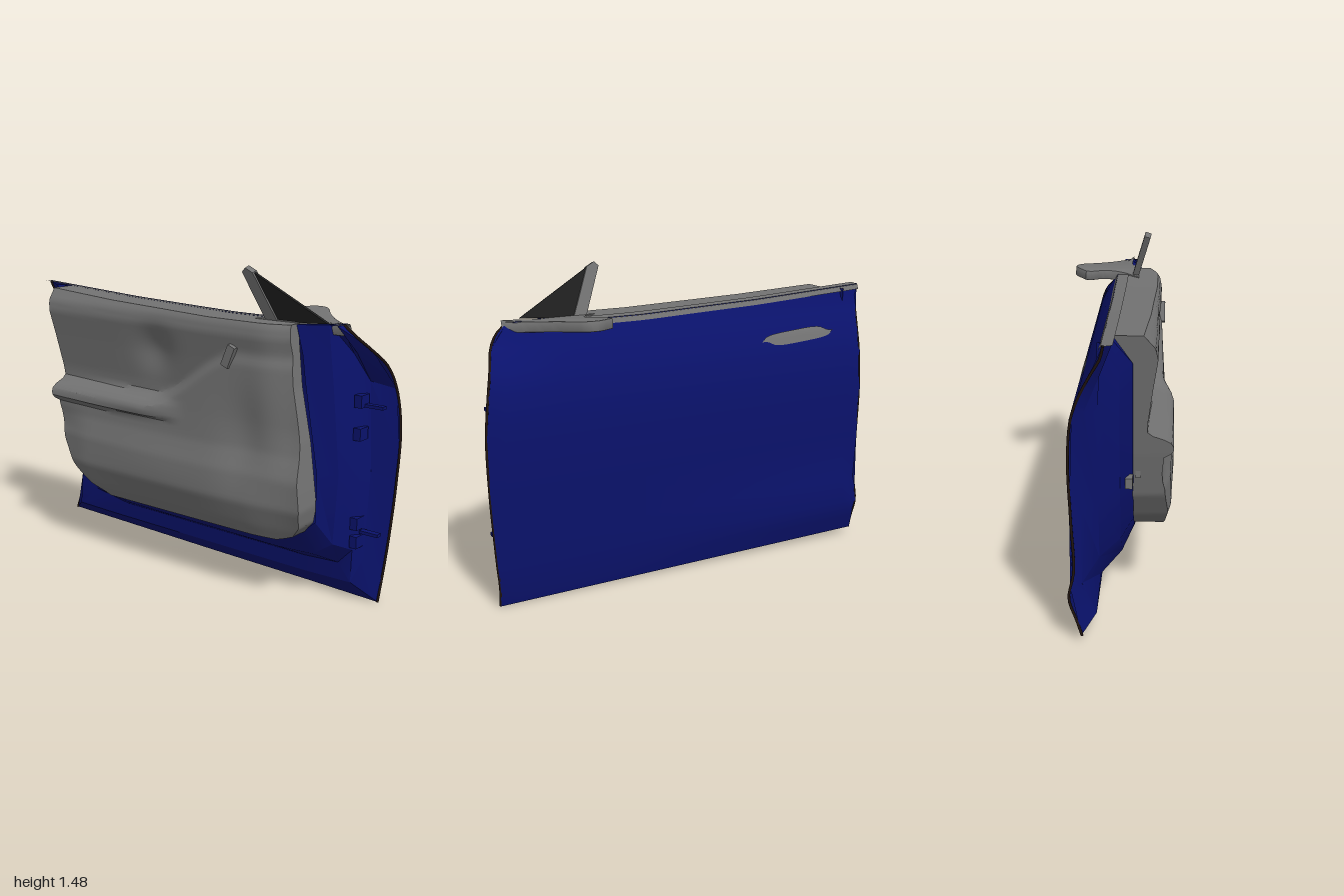
import * as THREE from 'three';
import { toCreasedNormals } from 'three/addons/utils/BufferGeometryUtils.js';

const paint = (color) => new THREE.MeshStandardMaterial({ color, side: THREE.DoubleSide });
const blue = paint(0x0a126c), grey = paint(0x727272), black = paint(0x202020), seal = paint(0x20140f);

// Eased ramp from 0 at a to 1 at b, in either direction
function smooth(a, b, v) {
  const t = THREE.MathUtils.clamp((v - a) / (b - a), 0, 1);
  return t * t * (3 - 2 * t);
}
const bump = (x, y, cx, cy, rx, ry) => Math.exp(-(((x - cx) / rx) ** 2) - ((y - cy) / ry) ** 2);

// Piecewise linear lookup in [key, value] pairs with rising keys
function lookup(pairs, k) {
  if (k <= pairs[0][0]) return pairs[0][1];
  for (let i = 1; i < pairs.length; i++) {
    const [k0, v0] = pairs[i - 1], [k1, v1] = pairs[i];
    if (k <= k1) return v0 + ((v1 - v0) * (k - k0)) / (k1 - k0);
  }
  return pairs[pairs.length - 1][1];
}

// Surface through a grid of points; point(i, j) returns [x, y, z]
function surface(cols, rows, point, crease = 0.5) {
  const pos = [], index = [];
  for (let j = 0; j <= rows; j++) for (let i = 0; i <= cols; i++) pos.push(...point(i, j));
  for (let j = 0; j < rows; j++) for (let i = 0; i < cols; i++) {
    const a = j * (cols + 1) + i, b = a + 1, c = a + cols + 1, d = c + 1;
    index.push(a, b, d, a, d, c);
  }
  const g = new THREE.BufferGeometry();
  g.setAttribute('position', new THREE.Float32BufferAttribute(pos, 3));
  g.setIndex(index);
  return toCreasedNormals(g, crease);
}

// Outer skin: side edges and bulge
const rearEdge = [[-0.945, 0.03], [-0.94, 0.1], [-0.94, 0.2], [-0.94, 0.32], [-0.935, 0.55], [-0.935, 0.8],
  [-0.935, 0.98], [-0.945, 1.08], [-0.965, 1.18], [-0.98, 1.24], [-1, 1.295]];
const frontEdge = [[0.955, 0], [0.96, 0.1], [0.97, 0.2], [0.98, 0.32], [0.995, 0.55], [1, 0.8],
  [0.98, 0.97], [0.955, 1.07], [0.92, 1.15], [0.88, 1.2], [0.82, 1.25]];
const bulge = [[0, -0.12], [0.1, -0.14], [0.3, -0.155], [0.6, -0.17], [0.8, -0.176], [0.98, -0.162],
  [1.1, -0.12], [1.2, -0.065], [1.25, -0.037], [1.3, -0.03]];
const skinZ = (x, y) => lookup(bulge, y)
  + 0.08 * smooth(0.6, 0.95, x) * smooth(1.04, 1.22, y)
  - 0.033 * smooth(0.6, -0.9, x) * bump(0, y, 0, 0.19, 1, 0.08);
const topY = (x) => lookup([[-1, 1.295], [-0.4, 1.262], [0.2, 1.242], [0.6, 1.242], [0.82, 1.255]], x);

function skinPoint(i, j) {
  const [xa, ya] = rearEdge[j], [xb, yb] = frontEdge[j], t = i / 24;
  const x = xa + (xb - xa) * t;
  const y = j === 10 ? topY(x) : ya + (yb - ya) * t;
  return [x, y, skinZ(x, y)];
}

// Inner shell: U-shaped steps from the skin edge in to the trim
const steps = [
  [[-1, 1.29], [-0.962, 1.16], [-0.935, 1], [-0.935, 0.6], [-0.94, 0.25], [-0.945, 0.03], [-0.6, 0.025], [0, 0.015],
    [0.6, 0.007], [0.955, 0], [0.97, 0.2], [0.997, 0.7], [0.98, 0.97], [0.92, 1.15], [0.82, 1.25]],
  [[-0.92, 1.28], [-0.915, 1.15], [-0.91, 1], [-0.91, 0.6], [-0.9, 0.25], [-0.86, 0.09], [-0.6, 0.085], [0, 0.08],
    [0.6, 0.075], [0.84, 0.08], [0.885, 0.2], [0.89, 0.6], [0.88, 1], [0.86, 1.13], [0.81, 1.25]],
  [[-0.9, 1.28], [-0.895, 1.15], [-0.89, 1], [-0.87, 0.6], [-0.82, 0.33], [-0.72, 0.2], [-0.5, 0.165], [0, 0.16],
    [0.6, 0.155], [0.78, 0.165], [0.85, 0.24], [0.87, 0.6], [0.84, 1], [0.825, 1.12], [0.8, 1.25]],
  [[-0.87, 1.28], [-0.86, 1.15], [-0.85, 1], [-0.82, 0.65], [-0.74, 0.38], [-0.62, 0.26], [-0.4, 0.21], [0, 0.205],
    [0.5, 0.2], [0.7, 0.21], [0.8, 0.28], [0.82, 0.6], [0.78, 1], [0.765, 1.12], [0.75, 1.25]],
  [[-0.82, 1.28], [-0.805, 1.17], [-0.79, 1.05], [-0.72, 0.7], [-0.62, 0.42], [-0.5, 0.33], [-0.38, 0.28], [0, 0.28],
    [0.5, 0.28], [0.64, 0.3], [0.74, 0.38], [0.74, 0.6], [0.67, 1], [0.655, 1.11], [0.62, 1.24]],
];
const stepZ = [0, 0, -0.055, 0.03, 0.08];
function shellPoint(i, j) {
  const [x, y] = steps[j][i];
  let z = j < 2 ? skinZ(x, y) + 0.003 + 0.045 * j : stepZ[j];
  if (j === 1 && i > 4 && i < 10) z = -0.065;
  if (i === 0) z = Math.min(z, 0.005);
  if (i === 14) z = Math.max(z, 0.02);
  return [x, y, z];
}

// Trim panel: outline, bulges, armrest and sweeping crease
const trimRear = [[0.3, -0.39], [0.34, -0.5], [0.42, -0.6], [0.55, -0.675], [0.75, -0.72], [1.05, -0.775], [1.29, -0.82]];
const trimFront = [[0.3, 0.6], [0.32, 0.68], [0.38, 0.725], [0.46, 0.738], [0.75, 0.7], [1, 0.65], [1.29, 0.62]];
const lower = [[0.29, 0.185], [0.35, 0.21], [0.45, 0.24], [0.58, 0.235], [0.68, 0.21], [0.8, 0.2], [1.1, 0.18]];
const upper = [[0.75, 0.135], [0.9, 0.14], [1.05, 0.16], [1.18, 0.18], [1.23, 0.17], [1.3, 0.11]];
function trimZ(x, y) {
  const crease = 0.8 + 0.26 * smooth(-0.14, 0.38, x);
  const above = smooth(crease - 0.01, crease + 0.06, y);
  let z = lookup(lower, y) * (1 - above) + lookup(upper, y) * above;
  z += 0.045 * smooth(0.1, -0.15, x) * smooth(0.735, 0.765, y) * smooth(0.85, 0.81, y);
  z -= 0.03 * bump(x, y, -0.12, 1.06, 0.1, 0.1);
  z -= 0.035 * bump(x, y, 0.45, 0.72, 0.13, 0.2);
  z += 0.012 * bump(x, y, 0, 0.5, 0.35, 0.12);
  z -= 0.03 * smooth(0.45, 0.72, x) + 0.025 * smooth(0.5, 0.68, x) * smooth(0.55, 0.8, y);
  return z - 0.025 * smooth(-0.5, -0.72, x) * smooth(0.74, 0.6, y);
}
const COLS = 60, ROWS = 60;
function trimPoint(i, j) {
  const s = THREE.MathUtils.clamp((i - 1) / (COLS - 2), 0, 1);
  const v = THREE.MathUtils.clamp((j - 1) / (ROWS - 2), 0, 1);
  const y0 = 0.295 + 0.985 * v;
  const xa = lookup(trimRear, y0), xb = lookup(trimFront, y0);
  const x = xa + (xb - xa) * s;
  const y = 0.295 + (topY(x) - 0.295) * v;
  if (j === ROWS) return [x, y, 0];
  if (i === 0 || i === COLS || j === 0) return [x, y, i === 0 && v > 0.85 ? 0.01 : 0.07];
  return [x, y, trimZ(x, y)];
}

export function createModel() {
  const door = new THREE.Group();
  door.name = 'carDoor';
  const add = (name, geometry, material, x = 0, y = 0, z = 0) => {
    const m = new THREE.Mesh(geometry, material);
    m.name = name;
    m.position.set(x, y, z);
    door.add(m);
    return m;
  };
  const box = (w, h, d) => new THREE.BoxGeometry(w, h, d);

  add('outerSkin', surface(24, 10, skinPoint, 1), blue);
  add('innerShell', surface(14, 4, shellPoint, 0.45), blue);
  add('trimPanel', surface(COLS, ROWS, trimPoint, 0.6), grey);

  // Window sill strip along the top, and the painted corner ahead of the trim
  add('windowSill', surface(24, 2, (i, j) => {
    const x = -1 + (1.85 * i) / 24, y = topY(x), z = skinZ(x, y);
    return [[x, y - 0.025, z - 0.014], [x, y - 0.003, z - 0.004], [x, y + 0.003, 0.012 + 0.015 * smooth(0.5, 0.85, x)]][j];
  }), grey);
  add('frontCornerCap', surface(4, 1, (i, j) => {
    const x = 0.61 + 0.05 * i;
    return [x, topY(x) - 0.004, j ? 0.08 - 0.013 * i : -0.02];
  }), blue);

  // Rubber seals on both side edges
  [['frontSeal', frontEdge], ['rearSeal', rearEdge]].forEach(([name, edge]) => {
    const path = new THREE.CatmullRomCurve3(edge.map(([x, y]) => new THREE.Vector3(x, y, skinZ(x, y) + 0.006)));
    add(name, new THREE.TubeGeometry(path, 40, 0.006, 6), seal);
  });

  // Outside pull handle, laid just over the skin
  add('outerHandle', surface(16, 4, (i, j) => {
    const t = i / 16, x = -0.77 + 0.37 * t;
    const half = 0.028 * Math.pow(Math.max(0, 1 - Math.abs(2 * t - 1) ** 5), 0.6);
    const y = 1.097 - 0.025 * t + half * (j / 2 - 1);
    return [x + 0.02 * (j / 2 - 1), y, skinZ(x, y) - 0.006];
  }), grey);

  // Mirror foot: flat tapering arm reaching outward from the corner
  const foot = new THREE.Shape();
  foot.moveTo(0.84, -0.015);
  foot.quadraticCurveTo(0.74, 0.03, 0.64, 0.15);
  foot.lineTo(0.58, 0.23);
  foot.quadraticCurveTo(0.53, 0.28, 0.47, 0.23);
  foot.lineTo(0.43, 0.2);
  foot.quadraticCurveTo(0.43, 0.17, 0.47, 0.14);
  foot.quadraticCurveTo(0.52, 0.08, 0.47, 0);
  foot.lineTo(0.4, -0.06);
  foot.lineTo(0.6, -0.05);
  foot.lineTo(0.7, -0.015);
  const footGeo = new THREE.ExtrudeGeometry(foot, { depth: 0.035, bevelEnabled: true, bevelSize: 0.006, bevelThickness: 0.006, bevelSegments: 2 });
  add('mirrorFoot', toCreasedNormals(footGeo, 0.6), grey, 0, 1.21, 0).rotation.x = -Math.PI / 2 + 0.09;

  // Leaning window corner triangle with its post
  const prism = (points, depth) => {
    const g = new THREE.ExtrudeGeometry(new THREE.Shape(points.map(([x, y]) => new THREE.Vector2(x, y))), { depth, bevelEnabled: false });
    g.translate(0, 0, -depth / 2);
    return g;
  };
  const corner = new THREE.Group();
  corner.name = 'windowCorner';
  corner.position.set(0, 1.235, 0.045);
  corner.rotation.x = 0.28;
  const pane = new THREE.Mesh(prism([[0.46, 0], [0.76, 0.02], [0.41, 0.225]], 0.012), black);
  pane.name = 'cornerPane';
  const post = new THREE.Mesh(prism([[0.45, 0], [0.51, 0], [0.415, 0.225], [0.378, 0.245], [0.358, 0.225]], 0.03), grey);
  post.name = 'cornerPost';
  corner.add(pane, post);
  door.add(corner);

  // Inside release lever in its cup
  add('leverCup', new THREE.CylinderGeometry(0.04, 0.045, 0.02, 16), grey, 0.33, 1.08, 0.16).rotation.x = Math.PI / 2;
  add('releaseLever', box(0.04, 0.1, 0.025), grey, 0.34, 1.085, 0.185).rotation.z = -0.4;

  // Hinge plates on the front end and latch at the rear
  [0.92, 0.775, 0.37, 0.285].forEach((y) => add('hingePlate', box(0.035, 0.055, 0.065), blue, 0.865, y, -0.065));
  [0.9, 0.33].forEach((y) => add('hingePin', box(0.09, 0.014, 0.03), blue, 0.925, y, -0.075));
  add('latch', box(0.055, 0.045, 0.03), grey, -0.765, 0.65, 0.065);
  add('latchHook', box(0.025, 0.06, 0.02), grey, -0.69, 0.67, 0.1);
  return door;
}
